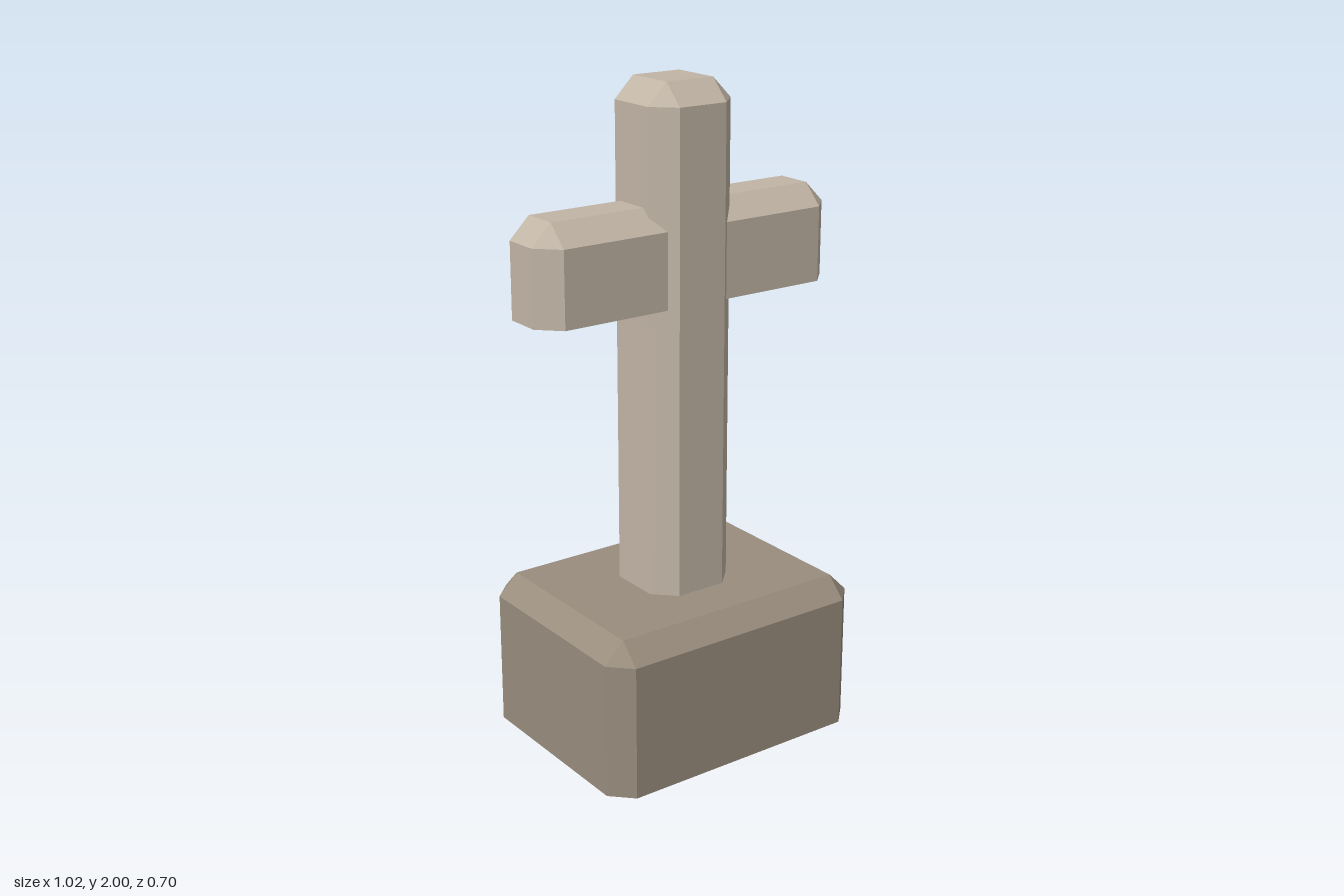
import * as THREE from 'three';
import { ConvexGeometry } from 'three/addons/geometries/ConvexGeometry.js';

const BEVEL = 0.063;

// Block with bevelled upright corners and top edges, and a flat underside.
function bevelledBlock(name, material, halfX, halfZ, bottom, top) {
  const points = [];
  for (const sx of [-1, 1]) {
    for (const sz of [-1, 1]) {
      for (const y of [bottom, top - BEVEL]) {
        points.push(new THREE.Vector3(sx * halfX, y, sz * (halfZ - BEVEL)));
        points.push(new THREE.Vector3(sx * (halfX - BEVEL), y, sz * halfZ));
      }
      points.push(new THREE.Vector3(sx * (halfX - BEVEL), top, sz * (halfZ - BEVEL)));
    }
  }
  const mesh = new THREE.Mesh(new ConvexGeometry(points), material);
  mesh.name = name;
  return mesh;
}

export function createModel() {
  const lightStone = new THREE.MeshStandardMaterial({ color: 0xc2b5a6, flatShading: true });
  lightStone.name = 'light stone';
  const darkStone = new THREE.MeshStandardMaterial({ color: 0x9a8d7e, flatShading: true });
  darkStone.name = 'dark stone';

  const model = new THREE.Group();
  model.name = 'stoneCross';
  model.add(
    bevelledBlock('plinth', darkStone, 0.447, 0.352, 0, 0.48),
    bevelledBlock('shaft', lightStone, 0.143, 0.143, 0.47, 2),
    bevelledBlock('crossbar', lightStone, 0.511, 0.119, 1.363, 1.653)
  );
  return model;
}
